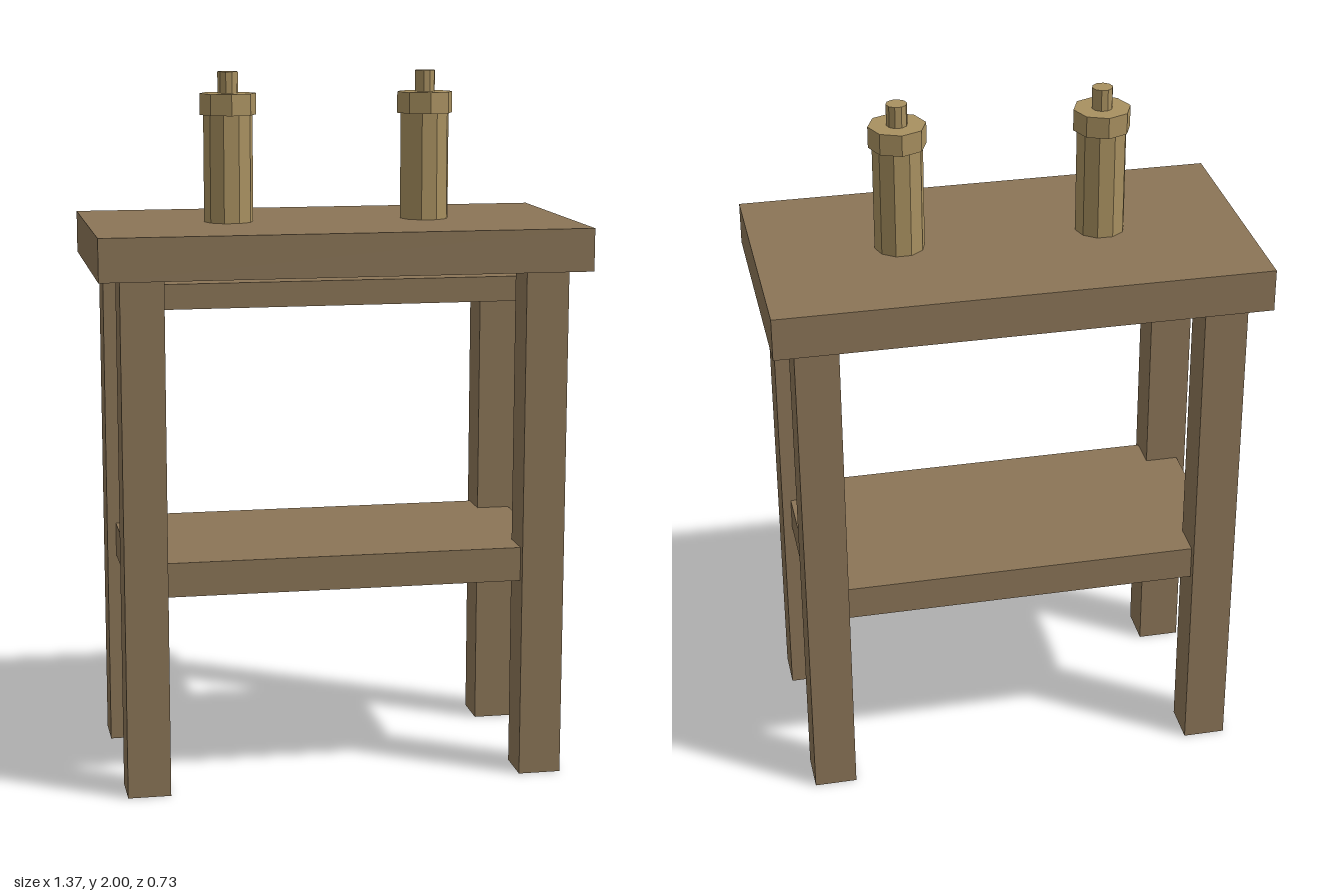
import * as THREE from 'three';

export function createModel() {
  const model = new THREE.Group();
  model.name = 'sideTable';

  const wood = new THREE.MeshStandardMaterial({ color: 0x8b7557 });
  wood.name = 'brown wood';
  const brass = new THREE.MeshStandardMaterial({ color: 0xa89060 });
  brass.name = 'tan brass';
  brass.flatShading = true;

  // Box spanning y0 to y1, centred on x, z
  function board(name, width, depth, y0, y1, x = 0, z = 0) {
    const mesh = new THREE.Mesh(new THREE.BoxGeometry(width, y1 - y0, depth), wood);
    mesh.name = name;
    mesh.position.set(x, (y0 + y1) / 2, z);
    model.add(mesh);
  }

  // Faceted upright cylinder spanning y0 to y1
  function post(parent, name, radius, y0, y1, sides) {
    const geometry = new THREE.CylinderGeometry(radius, radius, y1 - y0, sides);
    geometry.rotateY(Math.PI / 2); // a corner points along x
    const mesh = new THREE.Mesh(geometry, brass);
    mesh.name = name;
    mesh.position.y = (y0 + y1) / 2;
    parent.add(mesh);
  }

  // Table
  board('tableTop', 1.37, 0.726, 1.46, 1.58);
  board('shelf', 1.2, 0.6, 0.57, 0.667);
  board('rail', 1.12, 0.12, 1.34, 1.412);
  for (const sx of [-1, 1]) {
    for (const sz of [-1, 1]) {
      board(`${sz > 0 ? 'front' : 'back'}${sx > 0 ? 'Left' : 'Right'}Leg`,
        0.121, 0.121, 0, 1.46, sx * 0.565, sz * 0.262);
    }
  }

  // Pair of capped canisters on the top
  for (const sx of [-1, 1]) {
    const canister = new THREE.Group();
    canister.name = sx > 0 ? 'leftCanister' : 'rightCanister';
    canister.position.x = sx * 0.283;
    post(canister, 'body', 0.07, 1.58, 1.88, 10);
    post(canister, 'collar', 0.08, 1.88, 1.94, 8);
    post(canister, 'nozzle', 0.029, 1.94, 2, 10);
    model.add(canister);
  }

  return model;
}
